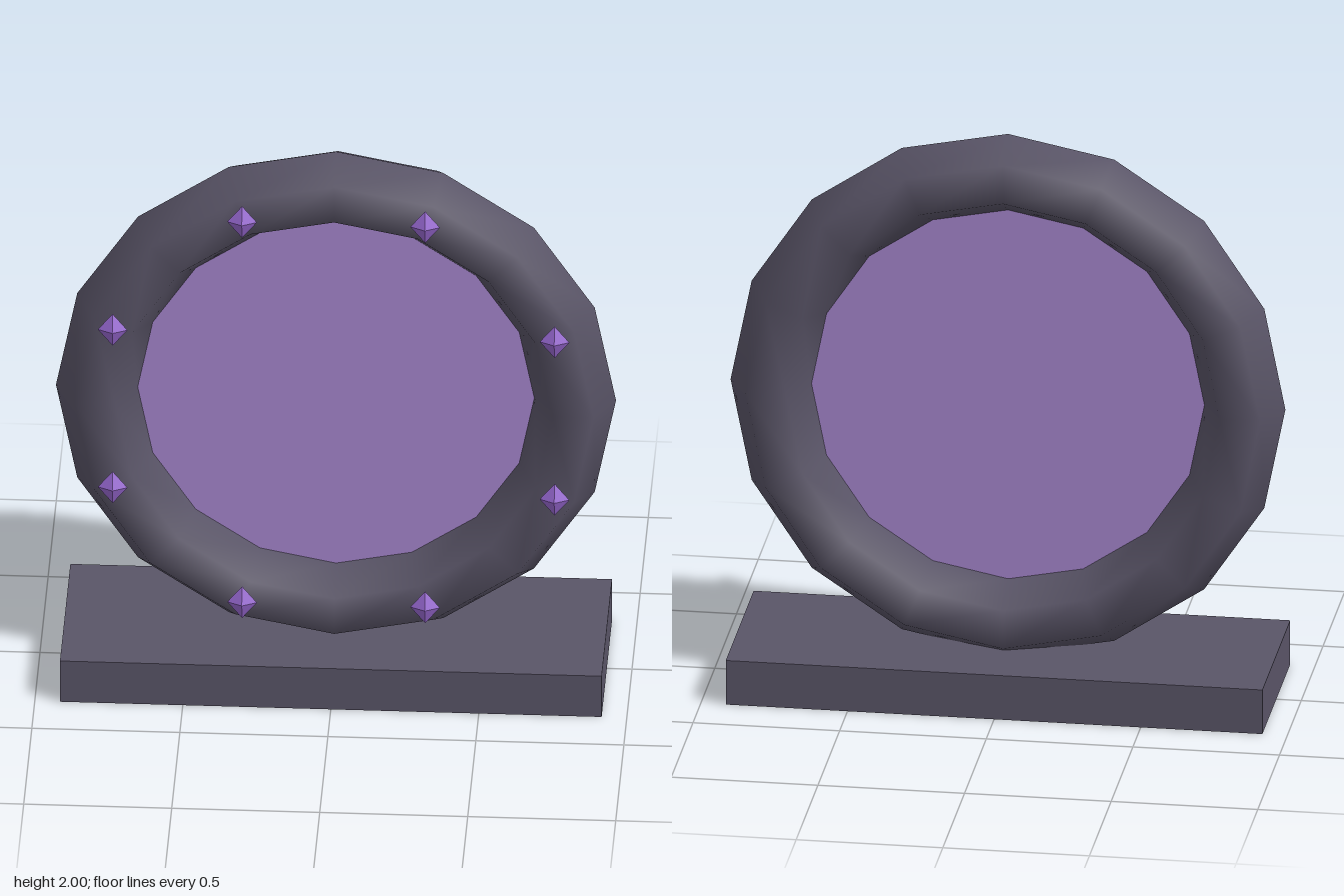
import * as THREE from 'three';

export function createModel() {
  const stone = new THREE.MeshStandardMaterial({ color: 0x5a5568 });
  stone.name = 'dark stone';
  const glow = new THREE.MeshStandardMaterial({ color: 0xa888d0, side: THREE.DoubleSide });
  glow.name = 'pale violet';
  const violet = new THREE.MeshStandardMaterial({ color: 0x9b6bd6 });
  violet.name = 'crystal violet';

  const model = new THREE.Group();
  model.name = 'portal';
  const centreY = 1.054;
  const ringRadius = 0.808;

  const add = (name, geometry, material, x, y, z) => {
    const mesh = new THREE.Mesh(geometry, material);
    mesh.name = name;
    mesh.position.set(x, y, z);
    model.add(mesh);
    return mesh;
  };

  // Slab the ring stands on
  add('base', new THREE.BoxGeometry(1.83, 0.16, 0.64), stone, 0, 0.08, 0);

  // Six-sided ring in sixteen segments, smooth shaded
  add('ring', new THREE.TorusGeometry(ringRadius, 0.138, 6, 16), stone, 0, centreY, 0);

  // Thin membrane filling the ring
  add('membrane', new THREE.CircleGeometry(0.73, 32), glow, 0, centreY, 0);

  // Eight upright crystals floating just off the front
  const crystal = new THREE.OctahedronGeometry(1);
  crystal.scale(0.05, 0.062, 0.025);
  crystal.computeVertexNormals();
  for (let i = 0; i < 8; i++) {
    const a = (i + 0.5) * Math.PI / 4;
    add('crystal' + (i + 1), crystal, violet,
      Math.cos(a) * ringRadius, centreY + Math.sin(a) * ringRadius, 0.147);
  }

  return model;
}
